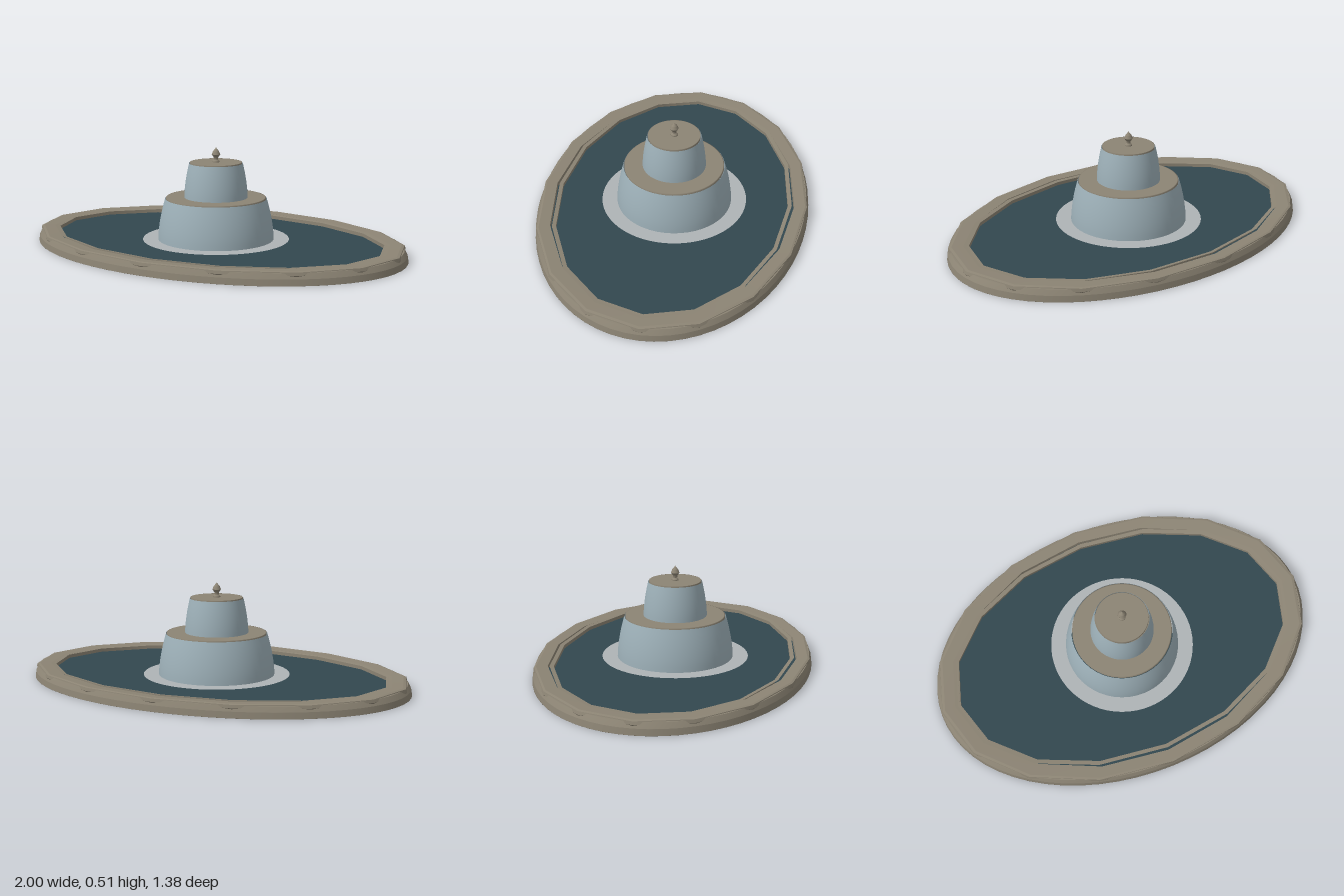
import * as THREE from 'three';

const STONE = 0x8c8474, WATER = 0x32474f, FALL = 0x9db0b8, FOAM = 0xaeb3b5;
const DEPTH = 0.69; // z to x ratio of the oval basin

function material(color, side = THREE.FrontSide) {
  return new THREE.MeshStandardMaterial({ color, side });
}

// Turned part from [radius, height] pairs, listed from bottom to top on the outside
function turned(name, points, segments, mat, crisp = true) {
  const profile = [];
  points.forEach(([r, y], i) => {
    profile.push(new THREE.Vector2(r, y));
    // split each corner with a tiny offset so edges stay sharp
    if (crisp && i > 0 && i < points.length - 1) {
      const [nr, ny] = points[i + 1];
      profile.push(new THREE.Vector2(r + (nr - r) * 0.02, y + (ny - y) * 0.02));
    }
  });
  const mesh = new THREE.Mesh(new THREE.LatheGeometry(profile, segments), mat);
  mesh.name = name;
  return mesh;
}

export function createModel() {
  const model = new THREE.Group();
  model.name = 'fountain';
  const stone = material(STONE);
  const fall = material(FALL, THREE.DoubleSide);

  // Oval basin: smooth wall, coarser sixteen-sided coping on top
  const basin = new THREE.Group();
  basin.name = 'basin';
  basin.add(turned('basinWall', [
    [0.89, 0.04], [0.89, 0], [1, 0], [0.995, 0.03], [0.98, 0.056], [0.92, 0.056],
  ], 64, stone));
  basin.add(turned('coping', [
    [0.89, 0.035], [0.985, 0.035], [0.993, 0.045], [0.988, 0.06], [0.975, 0.063], [0.895, 0.059], [0.89, 0.035],
  ], 16, stone));
  basin.scale.z = DEPTH;
  model.add(basin);

  // The inner edge of the coping is slightly narrower in depth than the wall
  const inner = turned('copingLip', [[0.92, 0.061], [0.89, 0.058], [0.89, 0.034]], 16, material(STONE, THREE.DoubleSide));
  inner.scale.z = 0.585 / 0.89;
  model.add(inner);

  // Pool surface
  const pool = new THREE.Mesh(new THREE.CylinderGeometry(0.91, 0.91, 0.004, 64), material(WATER));
  pool.name = 'poolWater';
  pool.position.y = 0.038;
  pool.scale.z = DEPTH;
  model.add(pool);

  // Foam ring where the water lands
  const foam = new THREE.Mesh(new THREE.RingGeometry(0.27, 0.37, 64), material(FOAM, THREE.DoubleSide));
  foam.name = 'foamRing';
  foam.rotation.x = -Math.PI / 2;
  foam.position.y = 0.043;
  model.add(foam);

  // Central column
  const column = new THREE.Mesh(new THREE.CylinderGeometry(0.07, 0.094, 0.42, 32), stone);
  column.name = 'column';
  column.position.y = 0.21;
  model.add(column);

  // Two tiers, each a shallow bowl with a curved sheet of falling water
  const tiers = [
    { name: 'lower', top: 0.252, foot: 0.04, rTop: 0.252, rFoot: 0.293 },
    { name: 'upper', top: 0.43, foot: 0.25, rTop: 0.131, rFoot: 0.16 },
  ];
  for (const { name, top, foot, rTop, rFoot } of tiers) {
    model.add(turned(name + 'Bowl', [
      [0.05, top - 0.05], [rTop * 0.6, top - 0.04], [rTop, top - 0.008], [rTop, top + 0.003], [0, top + 0.003],
    ], 48, stone));
    const sheet = [];
    for (let i = 0; i <= 8; i++) {
      const t = i / 8; // 0 at the foot, 1 at the lip
      sheet.push([rFoot - (rFoot - rTop - 0.004) * Math.pow(t, 1.7), foot + (top - 0.002 - foot) * t]);
    }
    model.add(turned(name + 'WaterSheet', sheet, 48, fall, false));
  }

  // Finial
  model.add(turned('finial', [
    [0.018, 0.43], [0.018, 0.438], [0.01, 0.447], [0.012, 0.458], [0.022, 0.472], [0.015, 0.488], [0, 0.507],
  ], 12, stone));

  return model;
}
